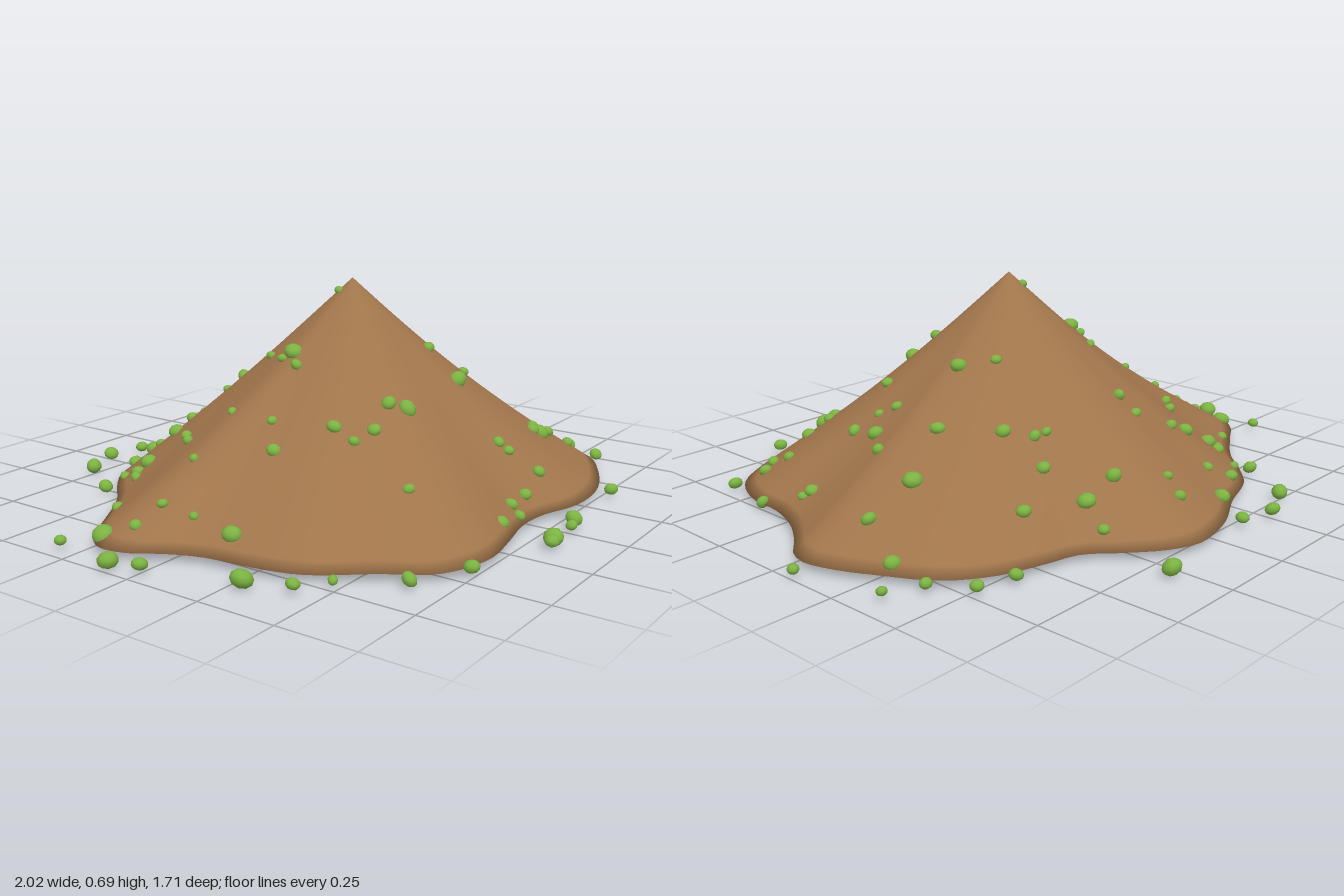
import * as THREE from 'three';

const APEX = new THREE.Vector3(0.01, 0.695, 0.03);
const BASE_Y = 0.03;
const MEAN_RADIUS = 0.8;
const SEGMENTS = 144;
const ROWS = 24;

// Wavy foot of the hill as x, z pairs, running counter-clockwise from above
const FOOT = [
  0.94, -0.06, 0.91, -0.17, 0.86, -0.27, 0.77, -0.42, 0.65, -0.51, 0.5, -0.56, 0.39, -0.59,
  0.3, -0.67, 0.2, -0.75, 0.1, -0.79, 0, -0.78, -0.1, -0.75, -0.24, -0.68, -0.4, -0.62,
  -0.5, -0.54, -0.6, -0.44, -0.75, -0.34, -0.86, -0.27, -0.92, -0.19, -0.91, -0.1, -0.85, 0,
  -0.81, 0.1, -0.79, 0.25, -0.75, 0.4, -0.63, 0.56, -0.55, 0.68, -0.46, 0.73, -0.35, 0.75,
  -0.22, 0.73, -0.07, 0.7, 0.05, 0.71, 0.15, 0.745, 0.25, 0.755, 0.38, 0.735, 0.55, 0.66,
  0.68, 0.57, 0.75, 0.43, 0.76, 0.3, 0.8, 0.18, 0.87, 0.07, 0.92, 0.01,
];

// Bush positions as x, z pairs
const LARGE_BUSHES = [
  -0.26, -0.81, -0.19, -0.67, 0.29, -0.83, -0.98, -0.09, -0.87, 0.29, -0.12, 0.82, 0.06, 0.8,
  -0.32, -0.44, -0.22, -0.03, -0.45, -0.44, 0.29, -0.02, 0.35, -0.26, 0.17, -0.53, 0.28, -0.52,
  0.39, 0.52, 0.51, 0.12, 0.61, -0.15, 0.81, -0.28, -0.4, -0.75, -0.87, -0.22, -0.73, 0.14,
  -0.45, 0.74, -0.18, 0.36, 0.13, 0.35,
];
const SMALL_BUSHES = [
  -0.14, -0.78, -0.53, -0.56, -0.26, -0.57, 0.02, -0.66, 0, -0.6, -0.35, -0.6, -0.46, -0.54,
  -0.51, -0.44, -0.25, -0.43, -0.1, -0.4, -0.08, -0.35, -0.41, -0.31, -0.46, -0.26, -0.69, -0.34,
  -0.95, -0.31, -0.83, -0.13, -0.95, 0, -0.75, -0.1, -0.59, -0.12, -0.41, -0.12, -0.18, -0.15,
  -0.26, 0.01, -0.42, 0.04, -0.49, 0.1, -0.73, 0, -0.82, 0.42, -0.74, 0.49, -0.62, 0.65,
  -0.37, 0.23, -0.37, 0.3, -0.31, 0.33, -0.22, 0.32, -0.39, 0.5, -0.17, 0.68, -0.06, 0.65,
  0.03, 0.65, 0.14, 0.64, 0, 0.82, 0.08, 0.53, 0.38, 0.78, 0.71, 0.58, 0.6, 0.52,
  0.64, 0.51, 0.47, 0.5, 0.35, 0.51, 0.59, 0.45, 0.75, 0.38, 0.71, 0.23, 0.5, 0.23,
  0.34, 0.25, 0.57, 0.04, 0.46, -0.1, 0.76, -0.13, 0.92, -0.36, 0.81, -0.41, 0.73, -0.52,
  0.61, -0.55, 0.46, -0.44, 0.24, -0.33, 0.3, -0.6, 0.99, -0.08, 0.44, 0.18, 0.13, 0.24,
  0.22, -0.11, -0.02, 0, 0.32, -0.39, 0.42, 0.12, 0.69, 0.21, 0.28, -0.32, 0.09, 0.56,
  -0.15, 0.83, -0.24, -0.06, -0.48, -0.46, -0.06, 0.68, 0.39, 0.49,
];

function footPoints() {
  const points = [];
  for (let i = 0; i < FOOT.length; i += 2) points.push(new THREE.Vector3(FOOT[i], BASE_Y, FOOT[i + 1]));
  return new THREE.CatmullRomCurve3(points, true).getSpacedPoints(SEGMENTS).slice(0, SEGMENTS);
}

// Point on the slope, t from 0 at the apex to 1 at the foot; folds deepen downwards
function slopePoint(f, t) {
  const reach = Math.hypot(f.x - APEX.x, f.z - APEX.z);
  const k = (t * THREE.MathUtils.lerp(MEAN_RADIUS, reach, t)) / reach;
  const sag = 0.025 * Math.sin(Math.PI * t);
  return new THREE.Vector3(
    THREE.MathUtils.lerp(APEX.x, f.x, k),
    THREE.MathUtils.lerp(APEX.y, BASE_Y, t) - sag,
    THREE.MathUtils.lerp(APEX.z, f.z, k),
  );
}

// Folded slopes from the apex to the foot, closed by a flat underside
function hillGeometry(foot) {
  const positions = [];
  const index = [];
  const at = (row, i) => row * SEGMENTS + (i % SEGMENTS);
  for (let row = 0; row <= ROWS; row++) {
    for (const f of foot) positions.push(...slopePoint(f, Math.max(row / ROWS, 0.002)));
  }
  for (let row = 0; row < ROWS; row++) {
    for (let i = 0; i < SEGMENTS; i++) {
      index.push(at(row, i), at(row + 1, i), at(row + 1, i + 1));
      index.push(at(row, i), at(row + 1, i + 1), at(row, i + 1));
    }
  }
  // Close the tiny opening at the tip
  for (let i = 1; i < SEGMENTS - 1; i++) index.push(at(0, 0), at(0, i), at(0, i + 1));
  // One centre vertex per segment lets the rim shading run across the underside
  for (let i = 0; i < SEGMENTS; i++) positions.push(0, BASE_Y, 0);
  const geometry = new THREE.BufferGeometry();
  geometry.setAttribute('position', new THREE.Float32BufferAttribute(positions, 3));
  geometry.setIndex(index);
  geometry.computeVertexNormals();

  // Underside, with normals blended softly around the rim
  const normal = geometry.attributes.normal;
  const n = new THREE.Vector3();
  for (let i = 0; i < SEGMENTS; i++) {
    index.push(at(ROWS + 1, i), at(ROWS, i + 1), at(ROWS, i));
    n.fromBufferAttribute(normal, at(ROWS, i));
    n.y -= 1;
    n.normalize();
    normal.setXYZ(at(ROWS, i), n.x, n.y, n.z);
    normal.setXYZ(at(ROWS + 1, i), n.x, n.y, n.z);
  }
  geometry.setIndex(index);
  return geometry;
}

// Height of the slope at a given x, z
function slopeHeight(foot, x, z) {
  const dx = x - APEX.x;
  const dz = z - APEX.z;
  const r = Math.hypot(dx, dz);
  const facing = (f) => {
    const fx = f.x - APEX.x;
    const fz = f.z - APEX.z;
    return (fx * dx + fz * dz) / Math.hypot(fx, fz);
  };
  const nearest = foot.reduce((a, b) => (facing(b) > facing(a) ? b : a));
  for (let t = 0; t < 1; t += 0.01) {
    const p = slopePoint(nearest, t);
    if (Math.hypot(p.x - APEX.x, p.z - APEX.z) >= r) return p.y;
  }
  return BASE_Y;
}

export function createModel() {
  const soil = new THREE.MeshStandardMaterial({ color: 0xa0754b });
  soil.name = 'brown soil';
  const leaves = new THREE.MeshStandardMaterial({ color: 0x7cb342 });
  leaves.name = 'green leaves';

  const model = new THREE.Group();
  model.name = 'hill with bushes';
  const foot = footPoints();

  const hill = new THREE.Mesh(hillGeometry(foot), soil);
  hill.name = 'hill';
  model.add(hill);

  // Rounded bushes scattered on the slopes and around the foot
  let seed = 7;
  const random = () => {
    seed = (seed * 16807) % 2147483647;
    return seed / 2147483647;
  };
  const bushes = new THREE.Group();
  bushes.name = 'bushes';
  const bushGeometry = new THREE.IcosahedronGeometry(1, 1);
  const plant = (list, size) => {
    for (let i = 0; i < list.length; i += 2) {
      const x = list[i];
      const z = list[i + 1];
      const bush = new THREE.Mesh(bushGeometry, leaves);
      bush.name = 'bush';
      const s = size * (0.85 + 0.35 * random());
      bush.scale.set(s, s * 0.8, s * (0.8 + 0.3 * random()));
      bush.rotation.set(random() * 0.6, random() * 6.28, random() * 0.6);
      bush.position.set(x, slopeHeight(foot, x, z) + 0.004, z);
      bushes.add(bush);
    }
  };
  plant(LARGE_BUSHES, 0.028);
  plant(SMALL_BUSHES, 0.02);
  model.add(bushes);
  return model;
}
